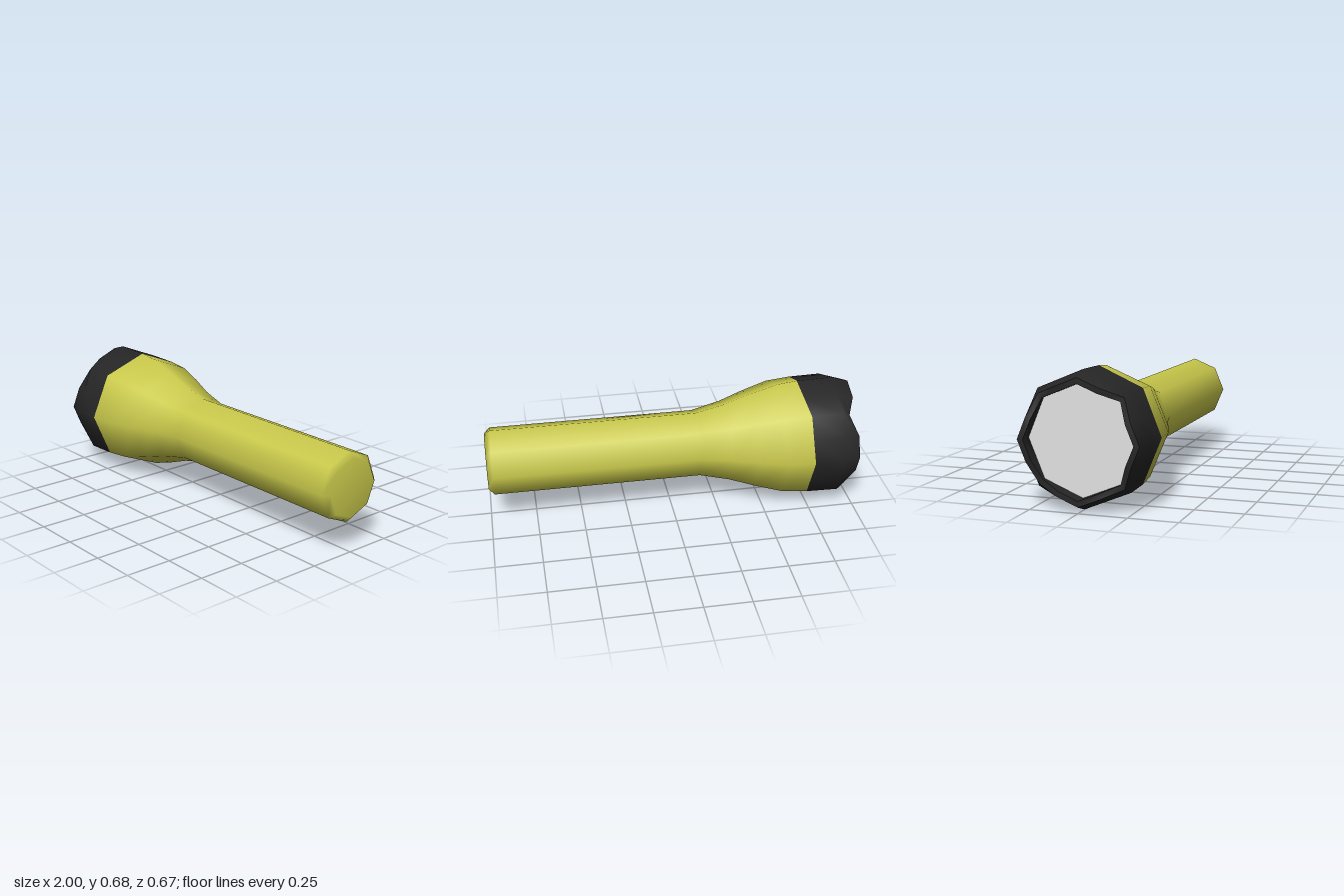
import * as THREE from 'three';

const yellow = new THREE.MeshStandardMaterial({ color: 0xcaca4c });
yellow.name = 'yellow';
const black = new THREE.MeshStandardMaterial({ color: 0x262626 });
black.name = 'black';
const grey = new THREE.MeshStandardMaterial({ color: 0xe2e2e2 });
grey.name = 'lensGrey';

// Seam between body and head: reaches further back at top and bottom
const seamX = (up) => -0.745 + 0.035 * up ** 4;

// A point on an octagon whose sides are halved: even k is a corner, odd k the middle of a side
function octagonPoint(k, r) {
  const corner = (j) => {
    const a = (j * Math.PI) / 8;
    return new THREE.Vector2(Math.cos(a) * r, Math.sin(a) * Math.min(r, 0.336));
  };
  return k % 2 ? corner(k - 1).lerp(corner(k + 1), 0.5) : corner(k);
}

// Skin through rings around the x axis; each ring is { r, x(k) }
function loft(rings) {
  const n = 16, pos = [], index = [];
  for (const ring of rings) {
    for (let k = 0; k < n; k++) {
      const p = octagonPoint(k, ring.r);
      pos.push(ring.x(k), p.x, p.y);
    }
  }
  for (let i = 0; i < rings.length - 1; i++) {
    for (let k = 0; k < n; k++) {
      const a = i * n + k, b = i * n + ((k + 1) % n), c = a + n, d = b + n;
      index.push(a, c, b, b, c, d);
    }
  }
  const g = new THREE.BufferGeometry();
  g.setAttribute('position', new THREE.Float32BufferAttribute(pos, 3));
  g.setIndex(index);
  g.computeVertexNormals();
  return g;
}

export function createModel() {
  const group = new THREE.Group();
  const add = (name, geometry, material) => {
    const mesh = new THREE.Mesh(geometry, material);
    mesh.name = name;
    mesh.position.y = 0.34;
    group.add(mesh);
  };

  // Body: tube handle with bevelled tail, flaring to the head
  const profile = [
    [0.335, -0.745], [0.322, -0.6], [0.276, -0.45], [0.226, -0.31],
    [0.187, -0.15], [0.187, 0.97], [0.155, 1], [0, 1],
  ].map(([r, x]) => new THREE.Vector2(r, x));
  const body = new THREE.LatheGeometry(profile, 8);
  const p = body.attributes.position;
  for (let i = 0; i < p.count; i += profile.length) p.setY(i, seamX(p.getX(i) / 0.335));
  body.rotateZ(-Math.PI / 2);
  add('body', body, yellow);

  // Head: black sleeve with a notch at every diagonal corner of the rim
  const seam = (k) => {
    const at = (j) => seamX(Math.cos((j * Math.PI) / 8));
    return k % 2 ? (at(k - 1) + at(k + 1)) / 2 : at(k);
  };
  const rimX = (k) => (k % 4 === 2 ? -0.95 : -1);
  const outerRim = { r: 0.31, x: rimX }, innerRim = { r: 0.28, x: rimX };
  add('headSleeve', loft([{ r: 0.335, x: seam }, { r: 0.34, x: () => -0.91 }, outerRim]), black);
  add('headRim', loft([outerRim, innerRim]), black);
  add('headInnerWall', loft([innerRim, { r: 0.28, x: () => -0.93 }]), black);

  // Lens, recessed behind the rim
  const lens = new THREE.CircleGeometry(0.28, 8).rotateY(-Math.PI / 2).translate(-0.93, 0, 0);
  add('lens', lens, grey);

  return group;
}
